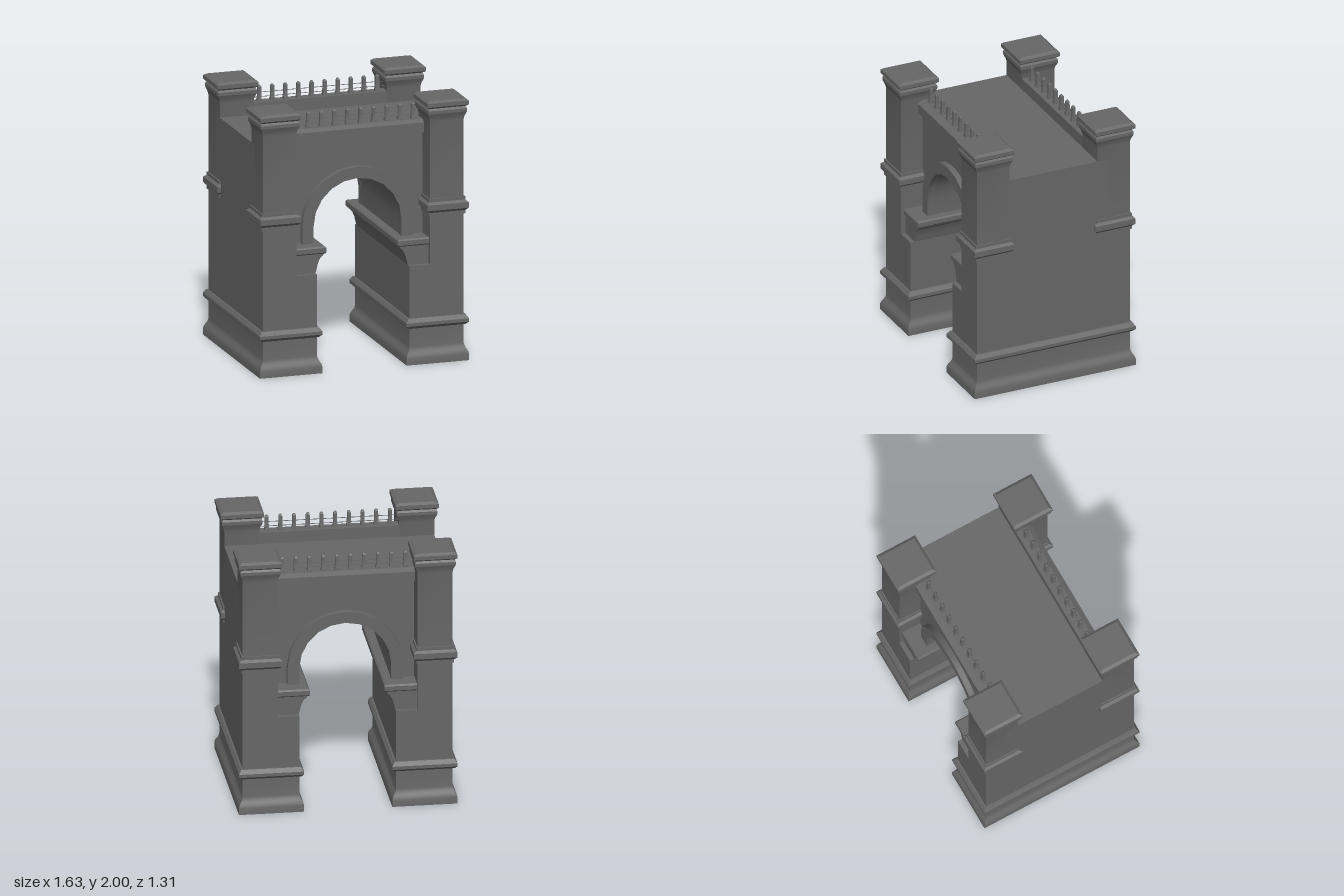
import * as THREE from 'three';
import { toCreasedNormals } from 'three/addons/utils/BufferGeometryUtils.js';

const stone = new THREE.MeshStandardMaterial({ color: 0x676767, side: THREE.DoubleSide });

function mesh(name, geometry) {
  const m = new THREE.Mesh(geometry, stone);
  m.name = name;
  return m;
}

// Rectangular block whose outline is offset by [offset, height] profile steps
function moulded(x0, x1, z0, z1, profile, openBottom = false) {
  const pos = [];
  const rings = profile.map(([o, y]) => [
    [x0 - o, y, z1 + o], [x1 + o, y, z1 + o], [x1 + o, y, z0 - o], [x0 - o, y, z0 - o],
  ]);
  const quad = (a, b, c, d) => pos.push(...a, ...b, ...c, ...a, ...c, ...d);
  for (let i = 0; i < rings.length - 1; i++) {
    for (let k = 0; k < 4; k++) {
      const n = (k + 1) % 4;
      quad(rings[i][k], rings[i][n], rings[i + 1][n], rings[i + 1][k]);
    }
  }
  quad(...rings[rings.length - 1]);
  if (!openBottom) quad(...[...rings[0]].reverse());
  const g = new THREE.BufferGeometry();
  g.setAttribute('position', new THREE.Float32BufferAttribute(pos, 3));
  return toCreasedNormals(g, 0.4);
}

// Straight extrusion of an outline between two depths
function extrude(points, z0, z1) {
  const shape = new THREE.Shape(points.map(([x, y]) => new THREE.Vector2(x, y)));
  const g = new THREE.ExtrudeGeometry(shape, { depth: z1 - z0, bevelEnabled: false });
  g.translate(0, 0, z0);
  return toCreasedNormals(g, 0.4);
}

// Stilted round arch, from right springing over the crown to the left
function archLine(r, foot) {
  const pts = [[r, foot]];
  for (let i = 0; i <= 10; i++) {
    const a = (i / 10) * Math.PI;
    pts.push([r * Math.cos(a), 1.08 + r * Math.sin(a)]);
  }
  pts.push([-r, foot]);
  return pts;
}

const PLINTH = [
  [0.032, 0], [0.032, 0.05], [0.027, 0.068], [0.018, 0.085], [0.008, 0.102], [0.002, 0.118],
  [0, 0.13], [0, 0.27], [0.012, 0.275], [0.032, 0.295], [0.032, 0.32], [0.012, 0.35],
  [0, 0.35], [0, 0.75],
];
const PILLAR = [
  [0, 0.75], [0, 1.12], [0.01, 1.12], [0.01, 1.145], [0.03, 1.165], [0.03, 1.208], [0.01, 1.225],
  [0.01, 1.25], [0, 1.25], [0, 1.84], [0.005, 1.865], [0.02, 1.9], [0.02, 1.925], [0.01, 1.94],
  [0.03, 1.955], [0.03, 1.985], [0.008, 2],
];
const IMPOST = [[0, 0.895], [0.01, 0.905], [0.01, 0.94], [0, 0.95]];
const POST = [
  [0.018, 1.82], [0.018, 1.83], [0.014, 1.842], [0.013, 1.928], [0.006, 1.94],
];

function buildSide(sign) {
  const side = new THREE.Group();
  side.name = sign > 0 ? 'leftPier' : 'rightPier';
  const range = (a, b) => (sign > 0 ? [a, b] : [-b, -a]);

  side.add(mesh('pierBase', moulded(...range(0.36, 0.782), -0.625, 0.625, PLINTH, true)));

  // Curved corbel and impost running through the passage
  const corbel = [
    [0.78, 0.75], [0.78, 0.95], [0.54, 0.95], [0.54, 0.9], [0.292, 0.9],
    [0.298, 0.885], [0.325, 0.86], [0.342, 0.82], [0.35, 0.785], [0.36, 0.75],
  ].map(([x, y]) => [x * sign, y]);
  side.add(mesh('corbel', extrude(corbel, -0.59, 0.59)));
  side.add(mesh('impost', moulded(...range(0.288, 0.53), -0.593, 0.593, IMPOST)));

  // Corner pillars with mid band and cap, and their open footings in the hollow base
  for (const z of [1, -1]) {
    const [z0, z1] = z > 0 ? [0.36, 0.625] : [-0.625, -0.36];
    side.add(mesh('cornerPillar', moulded(...range(0.52, 0.782), z0, z1, PILLAR)));
    side.add(mesh('pillarFooting',
      moulded(...range(0.58, 0.72), 0.49 * z - 0.07, 0.49 * z + 0.07, [[0, 0.06], [0, 0.74]], true)));
  }
  return side;
}

function buildFacade(name) {
  const facade = new THREE.Group();
  facade.name = name;

  // Raised band around the arch
  const ring = [...archLine(0.43, 0.93), ...archLine(0.342, 0.93).reverse()];
  facade.add(mesh('archBand', extrude(ring, 0.44, 0.495)));

  // Parapet with a sloped front edge
  const parapet = extrude([
    [0.36, 1.725], [0.49, 1.725], [0.49, 1.8], [0.45, 1.82], [0.36, 1.82],
  ], -0.53, 0.53);
  parapet.rotateY(-Math.PI / 2);
  facade.add(mesh('parapet', parapet));

  // Railing posts and rods
  for (let i = 0; i < 10; i++) {
    const x = (i - 4.5) * 0.102;
    facade.add(mesh('railingPost', moulded(x, x, 0.412, 0.412, POST)));
  }
  for (const y of [1.85, 1.885]) {
    const rod = mesh('railingRod', new THREE.BoxGeometry(1.06, 0.004, 0.004));
    rod.position.set(0, y, 0.412);
    facade.add(rod);
  }
  return facade;
}

export function createModel() {
  const model = new THREE.Group();
  model.name = 'gateway';

  // Upper mass with the vaulted passage
  const mass = [
    [-0.782, 0.92], [-0.782, 1.73], [0.782, 1.73], [0.782, 0.92], ...archLine(0.345, 0.92),
  ];
  model.add(mesh('vaultedBody', extrude(mass, -0.45, 0.45)));

  // Flush side walls closing the band below the vault
  for (const s of [1, -1]) {
    const wall = mesh('sideWall', new THREE.BoxGeometry(0.05, 0.98, 0.76));
    wall.position.set(0.757 * s, 1.24, 0);
    model.add(wall, buildSide(s));
  }

  const back = buildFacade('backFacade');
  back.rotation.y = Math.PI;
  model.add(buildFacade('frontFacade'), back);
  return model;
}
